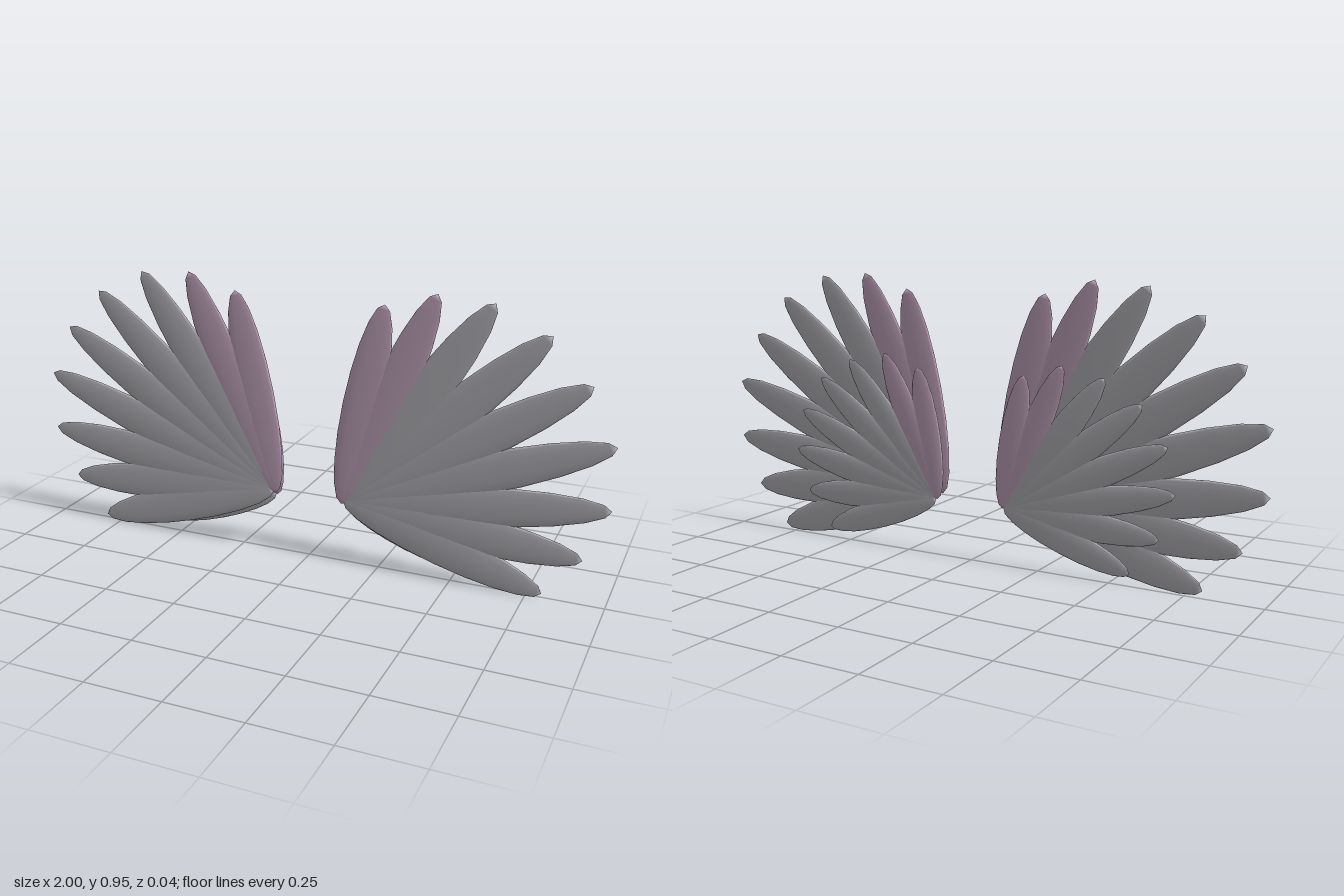
import * as THREE from 'three';

const palePink = new THREE.MeshStandardMaterial({ color: 0xc9abc4 });
palePink.name = 'palePink';
const softGrey = new THREE.MeshStandardMaterial({ color: 0xbcbac0 });
softGrey.name = 'softGrey';

// Unit feather: a coarse sphere whose poles are the root and the tip
const featherShape = new THREE.SphereGeometry(1, 12, 10);

// Feather tips [x, y] of each fan, from the inner edge round to the lowest
const frontFan = {
  name: 'longFeathers', z: 0.014, halfWidth: 0.068, root: [0.127, 0.225], pinkRoot: [0.12, 0.215],
  tips: [[0.26, 0.905], [0.43, 0.953], [0.61, 0.94], [0.785, 0.858], [0.915, 0.718],
    [0.998, 0.54], [0.998, 0.335], [0.922, 0.158], [0.803, 0.021]],
};
const backFan = {
  name: 'shortFeathers', z: -0.014, halfWidth: 0.05, root: [0.13, 0.2], pinkRoot: [0.125, 0.2],
  tips: [[0.2, 0.645], [0.335, 0.685], [0.48, 0.655], [0.605, 0.582], [0.69, 0.46],
    [0.718, 0.315], [0.67, 0.168], [0.575, 0.046]],
};

// One flat feather stretched from root to tip
function feather(root, tip, fan, side, material) {
  const dx = (tip[0] - root[0]) * side;
  const dy = tip[1] - root[1];
  const mesh = new THREE.Mesh(featherShape, material);
  mesh.scale.set(fan.halfWidth, Math.hypot(dx, dy) / 2, 0.006);
  mesh.rotation.z = Math.atan2(-dx, dy);
  mesh.position.set(side * (root[0] + tip[0]) / 2, (root[1] + tip[1]) / 2, fan.z);
  return mesh;
}

// A wing is a long front fan and a short back fan; the two inner feathers are pink
function wing(side) {
  const group = new THREE.Group();
  group.name = side > 0 ? 'leftWing' : 'rightWing';
  for (const fan of [frontFan, backFan]) {
    const fanGroup = new THREE.Group();
    fanGroup.name = fan.name;
    fan.tips.forEach((tip, i) => {
      const pink = i < 2;
      const mesh = feather(pink ? fan.pinkRoot : fan.root, tip, fan, side, pink ? palePink : softGrey);
      mesh.name = pink ? 'pinkFeather' : 'greyFeather';
      fanGroup.add(mesh);
    });
    group.add(fanGroup);
  }
  return group;
}

export function createModel() {
  const model = new THREE.Group();
  model.name = 'wings';
  model.add(wing(1), wing(-1));
  return model;
}
